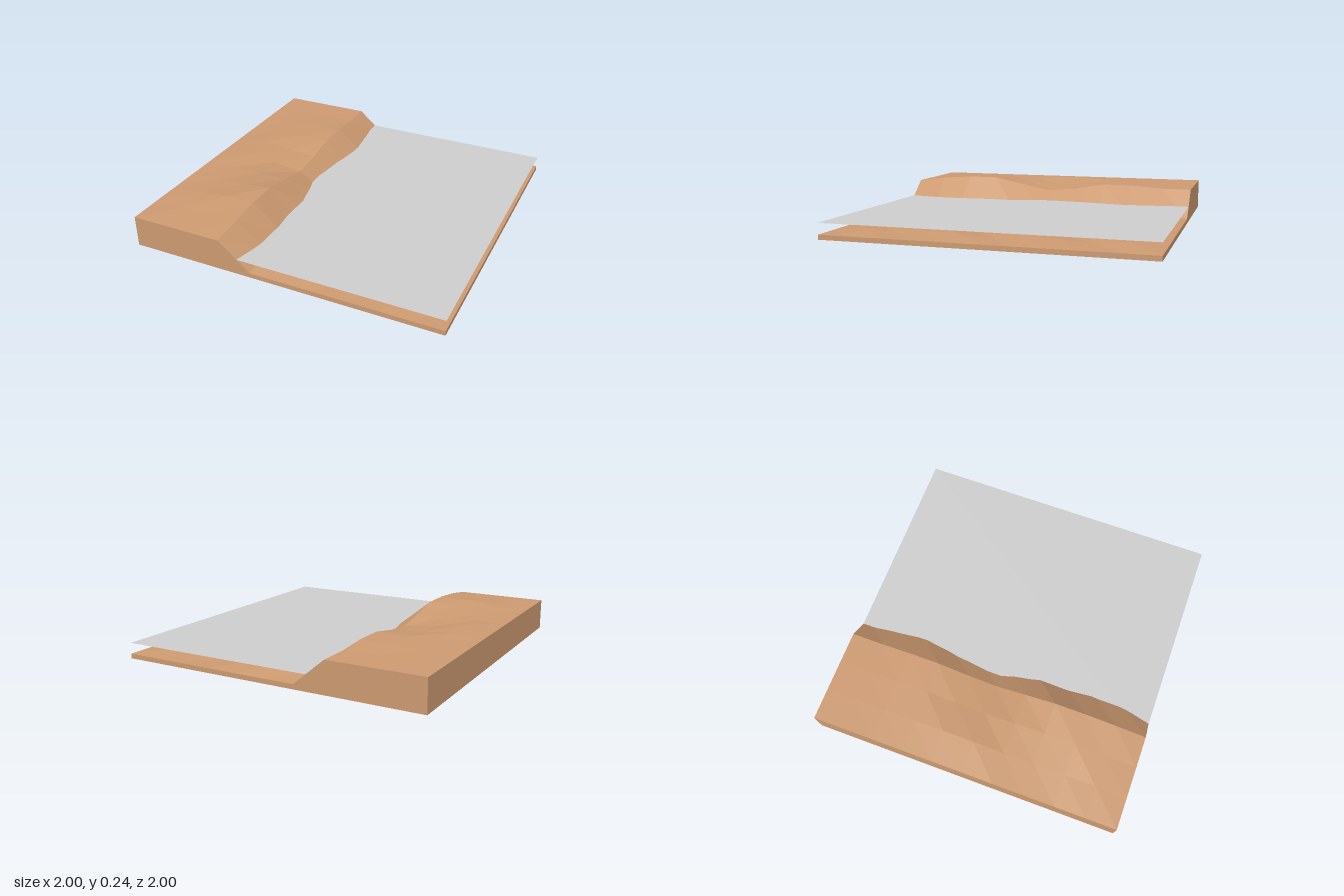
import * as THREE from 'three';

const BED = 0.03, PLATEAU = 0.2, WATER = 0.1;

// Ground heights along z (back to front), one list per grid column
const columns = [
  [0.2, 0.2, 0.2, 0.2, 0.2, 0.2, 0.2, 0.2, 0.2, 0.2, 0.2],            // x = -1.0
  [0.2, 0.2, 0.205, 0.21, 0.215, 0.215, 0.2, 0.205, 0.215, 0.21, 0.2], // x = -0.8
  [0.2, 0.2, 0.21, 0.215, 0.195, 0.185, 0.2, 0.22, 0.235, 0.215, 0.2], // x = -0.6
  [0.2, 0.2, 0.215, 0.215, 0.18, 0.16, 0.2, 0.24, 0.24, 0.225, 0.2],   // x = -0.4, crest
  [0.03, 0.05, 0.067, 0.045, 0.03, 0.03, 0.057, 0.053, 0.07, 0.069, 0.03], // x = -0.2, foot
];
// Highest bump of each column of the sea bed, x = 0 to 1
const bedCrest = [0.075, 0.06, 0.06, 0.05, 0.05, BED];

function heightAt(x, z) {
  const i = Math.round((x + 1) * 5);
  const j = Math.round((z + 1) * 5);
  if (i < columns.length) return columns[i][j];
  if (j === 0 || j === 10) return BED;
  const bump = Math.abs(Math.cos((j - 4) * 1.1 + (i - 5) * 0.9));
  return BED + (bedCrest[i - 5] - BED) * bump;
}

export function createModel() {
  const group = new THREE.Group();
  group.name = 'coast';

  const earth = new THREE.MeshStandardMaterial({ color: 0xcb9970, flatShading: true });
  earth.name = 'earth';
  const grey = new THREE.MeshStandardMaterial({ color: 0xcccccc, side: THREE.DoubleSide });
  grey.name = 'water grey';

  // Solid ground block with its top face raised to the terrain heights
  const geometry = new THREE.BoxGeometry(2, PLATEAU, 2, 10, 1, 10);
  const pos = geometry.attributes.position;
  for (let k = 0; k < pos.count; k++) {
    pos.setY(k, pos.getY(k) > 0 ? heightAt(pos.getX(k), pos.getZ(k)) : 0);
  }
  const ground = geometry.toNonIndexed();
  ground.computeVertexNormals();
  const terrain = new THREE.Mesh(ground, earth);
  terrain.name = 'terrain';
  group.add(terrain);

  // Thin sheet of water, ending inside the bank
  const sheet = new THREE.PlaneGeometry(1.4, 2);
  sheet.rotateX(-Math.PI / 2);
  const water = new THREE.Mesh(sheet, grey);
  water.name = 'water';
  water.position.set(0.3, WATER, 0);
  group.add(water);

  return group;
}
